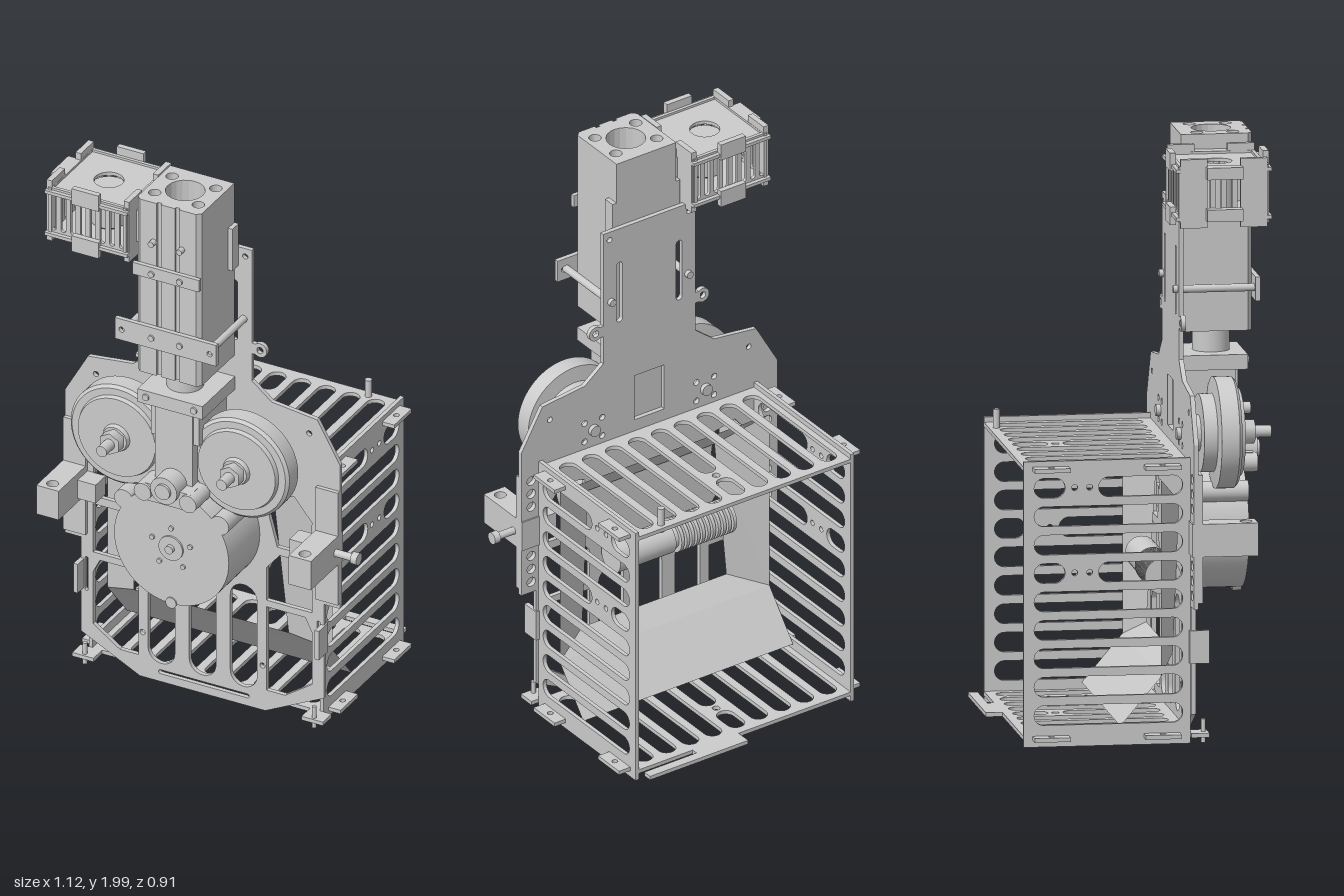
import * as THREE from 'three';
import { toCreasedNormals } from 'three/addons/utils/BufferGeometryUtils.js';

const C = -0.045; // symmetry line of the machine
const mat = new THREE.MeshStandardMaterial({ color: 0xcccccc });
const thin = new THREE.MeshStandardMaterial({ color: 0xcccccc, side: THREE.DoubleSide });

function mesh(parent, name, geo, x = 0, y = 0, z = 0, m = mat) {
  const o = new THREE.Mesh(geo, m);
  o.name = name;
  o.position.set(x, y, z);
  parent.add(o);
  return o;
}
// box given by its limits
const box = (p, name, x0, x1, y0, y1, z0, z1) => mesh(p, name,
  new THREE.BoxGeometry(x1 - x0, y1 - y0, z1 - z0), (x0 + x1) / 2, (y0 + y1) / 2, (z0 + z1) / 2);
// cylinder along an axis, from a to b
function rod(p, name, axis, r, a, b, u, v, sides = 24) {
  const g = new THREE.CylinderGeometry(r, r, b - a, sides), m = (a + b) / 2;
  if (axis === 'z') return mesh(p, name, g.rotateX(Math.PI / 2), u, v, m);
  if (axis === 'x') return mesh(p, name, g.rotateZ(Math.PI / 2), m, u, v);
  return mesh(p, name, g, u, m, v);
}
const poly = pts => new THREE.Path(pts.map(p => new THREE.Vector2(...p)));
const rect = (x0, x1, y0, y1) => poly([[x0, y0], [x1, y0], [x1, y1], [x0, y1]]);
const hole = (x, y, r) => new THREE.Path().absarc(x, y, r, 0, Math.PI * 2, true);
// round-ended slot
function slot(x0, x1, y0, y1) {
  const p = new THREE.Path(), w = x1 - x0, h = y1 - y0, r = Math.min(w, h) / 2;
  if (h > w) {
    p.absarc(x0 + r, y1 - r, r, 0, Math.PI, false);
    p.absarc(x0 + r, y0 + r, r, Math.PI, Math.PI * 2, false);
  } else {
    p.absarc(x0 + r, y0 + r, r, Math.PI / 2, Math.PI * 1.5, false);
    p.absarc(x1 - r, y0 + r, r, -Math.PI / 2, Math.PI / 2, false);
  }
  p.closePath();
  return p;
}
// flat cut sheet; plane 'xy' grows to +z, 'xz' to -y, 'zy' to -x
function sheet(p, name, outline, holes, t, plane = 'xy', at = 0) {
  const s = new THREE.Shape(outline.getPoints(12));
  s.holes = holes;
  const g = new THREE.ExtrudeGeometry(s, { depth: t, bevelEnabled: false, curveSegments: 10 });
  if (plane === 'xz') return mesh(p, name, g.rotateX(Math.PI / 2), 0, at, 0);
  if (plane === 'zy') return mesh(p, name, g.rotateY(-Math.PI / 2), at, 0, 0);
  return mesh(p, name, g, 0, 0, at);
}
const group = (p, name) => { const g = new THREE.Group(); g.name = name; p.add(g); return g; };
const quad = (a, b, c, d) => {
  const g = new THREE.BufferGeometry();
  g.setAttribute('position', new THREE.Float32BufferAttribute([a, b, c, a, c, d].flat(), 3));
  g.computeVertexNormals();
  return g;
};

function mainPlate(root) {
  const half = [[0.235, 0.01], [0.455, 0.12], [0.455, 0.48], [0.515, 0.48], [0.515, 1.03], [0.43, 1.18],
    [0.26, 1.2], [0.185, 1.26], [0.185, 1.76]];
  const both = pts => [...pts.map(([x, y]) => [C + x, y]), ...pts.slice().reverse().map(([x, y]) => [C - x, y])];
  const holes = [rect(C - 0.06, C + 0.06, 1.0, 1.17), slot(-0.21, 0.13, 0.04, 0.055)];
  for (const i of [-1, 0, 1]) holes.push(slot(C + i * 0.154 - 0.05, C + i * 0.154 + 0.05, 0.08, 0.47));
  for (const s of [-1, 1]) {
    const win = pts => holes.push(poly(pts.map(([x, y]) => [C + s * x, y])));
    win([[0.24, 0.09], [0.31, 0.09], [0.41, 0.16], [0.41, 0.36], [0.385, 0.41], [0.24, 0.41]]);
    win([[0.24, 0.435], [0.41, 0.435], [0.41, 0.62], [0.29, 0.62], [0.24, 0.56]]);
    win([[0.25, 0.76], [0.28, 0.65], [0.405, 0.65], [0.41, 0.78], [0.345, 0.86], [0.26, 0.84]]);
    for (const y of [0.52, 0.57, 0.62, 0.81, 0.86, 0.91]) holes.push(hole(C + s * 0.475, y, 0.017));
    const wx = C + s * 0.225;
    for (let i = 0; i < 4; i++) {
      const a = Math.PI * (i / 2 + 0.25);
      holes.push(hole(wx + 0.05 * Math.cos(a), 1.02 + 0.05 * Math.sin(a), 0.011));
    }
    holes.push(hole(C + s * 0.4, 1.12, 0.01), hole(C + s * 0.16, 1.73, 0.01), hole(C + s * 0.225, 0.18, 0.01));
    holes.push(slot(C + s * 0.435 - 0.006, C + s * 0.435 + 0.006, 0.28, 0.41));
    holes.push(slot(C + s * 0.12 - 0.012, C + s * 0.12 + 0.012, 1.4, 1.63));
  }
  sheet(root, 'mainPlate', poly(both(half)), holes, 0.016, 'xy', 0.155);
  for (const s of [-1, 1]) {
    const ear = new THREE.Path().absarc(C + s * 0.215, 1.385, 0.026, 0, Math.PI * 2, false);
    sheet(root, 'mastEar', ear, [hole(C + s * 0.215, 1.385, 0.012)], 0.016, 'xy', 0.155);
    box(root, 'mastEarNeck', C + s * 0.19 - 0.015, C + s * 0.19 + 0.015, 1.365, 1.405, 0.155, 0.171);
    box(root, 'plateTab', C + s * 0.452 - 0.008, C + s * 0.452 + 0.008, 0.29, 0.4, 0.15, 0.215);
  }
}

function basket(root) {
  const b = group(root, 'basket');
  const n = [...Array(9).keys()];
  // slatted floor and roof
  for (const [name, y] of [['roof', 0.957], ['floor', 0.057]]) {
    const holes = n.filter(i => i !== 4).map(i => slot(-0.445 + i * 0.0923, -0.382 + i * 0.0923, -0.37, 0.12));
    holes.push(slot(-0.076, -0.013, -0.37, -0.253), slot(-0.076, -0.013, -0.203, 0.12), hole(C, -0.228, 0.013));
    sheet(b, name, rect(-0.48, 0.4, -0.4, 0.155), holes, 0.014, 'xz', y);
    for (const z of [-0.31, 0.06]) for (const s of [-1, 1])
      sheet(b, name + 'Tab', rect(-0.04 + s * 0.46 - 0.025, -0.04 + s * 0.46 + 0.025, z - 0.06, z + 0.06).clone(),
        [hole(-0.04 + s * 0.46, z, 0.01)], 0.014, 'xz', y);
  }
  // slatted sides with cross pieces
  for (const x of [-0.466, 0.4]) {
    const holes = [];
    for (const i of n) {
      const y = 0.125 + i * 0.095;
      if (i === 5 || i === 8) holes.push(slot(-0.365, -0.262, y - 0.033, y + 0.033), slot(-0.15, 0.13, y - 0.033, y + 0.033),
        hole(-0.18, y, 0.01), hole(-0.23, y, 0.01));
      else holes.push(slot(-0.365, 0.13, y - 0.033, y + 0.033));
    }
    sheet(b, 'basketSide', rect(-0.4, 0.155, 0.02, 0.975), holes, 0.014, 'zy', x);
  }
  // latch tongue behind the floor
  sheet(b, 'latchTongue', poly([[-0.015, -0.455], [0.38, -0.455], [0.38, -0.422], [0.17, -0.422], [0.17, -0.4], [-0.015, -0.4]]),
    [], 0.014, 'xz', 0.057);
  rod(b, 'roofScrew', 'y', 0.012, 0.93, 1.02, 0.28, -0.375);
  for (const s of [-1, 1]) rod(b, 'floorScrew', 'y', 0.008, 0.02, 0.1, -0.04 + s * 0.43, 0.2);
  for (const s of [-1, 1]) box(b, 'frontTab', -0.04 + s * 0.43 - 0.04, -0.04 + s * 0.43 + 0.04, 0.043, 0.057, 0.155, 0.215);
  // funnel panels
  const [l, r, li, ri] = [-0.462, 0.382, -0.3, 0.21];
  const f = (name, ...p) => mesh(b, name, quad(...p), 0, 0, 0, thin);
  f('ramp', [l, 0.08, -0.075], [r, 0.08, -0.075], [r, 0.24, 0.06], [l, 0.24, 0.06]);
  f('rampTop', [l, 0.24, 0.06], [r, 0.24, 0.06], [0.25, 0.3, 0.12], [-0.33, 0.3, 0.12]);
  f('funnelLeft', [r, 0.24, 0.06], [r, 0.9, 0.06], [ri, 0.8, 0.145], [0.25, 0.3, 0.12]);
  f('funnelRight', [l, 0.24, 0.06], [l, 0.9, 0.06], [li, 0.8, 0.145], [-0.33, 0.3, 0.12]);
  f('funnelTop', [l, 0.9, 0.06], [r, 0.9, 0.06], [ri, 0.8, 0.145], [li, 0.8, 0.145]);
  // feed roller, ribbed on one half
  rod(b, 'roller', 'x', 0.055, -0.07, 0.155, 0.55, 0.09, 32);
  rod(b, 'rollerCore', 'x', 0.045, -0.31, -0.07, 0.55, 0.09, 32);
  for (let i = 0; i < 11; i++) rod(b, 'rollerRib', 'x', 0.06, -0.31 + i * 0.021, -0.298 + i * 0.021, 0.55, 0.09, 32);
}

function drive(root) {
  // motor housing
  const d = group(root, 'motorHousing');
  rod(d, 'housing', 'z', 0.215, 0.17, 0.385, C, 0.68, 64);
  rod(d, 'housingHub', 'z', 0.045, 0.38, 0.392, C, 0.68, 32);
  rod(d, 'hubPin', 'z', 0.015, 0.39, 0.405, C, 0.68);
  for (const s of [-1, 1]) rod(d, 'housingLug', 'z', 0.035, 0.17, 0.385, C + s * 0.18, 0.815);
  for (let i = 0; i < 5; i++) {
    const a = Math.PI * (0.5 + i * 0.4);
    rod(d, 'housingBolt', 'z', 0.009, 0.38, 0.392, C + 0.075 * Math.cos(a), 0.68 + 0.075 * Math.sin(a), 12);
  }
  rod(d, 'lowerBolt', 'z', 0.02, 0.36, 0.39, C, 0.47);
  // clamp over the housing
  box(d, 'clampBar', C - 0.09, C + 0.09, 0.86, 0.925, 0.2, 0.42);
  rod(d, 'clampBoss', 'z', 0.05, 0.2, 0.44, C, 0.925);
  rod(d, 'clampPin', 'z', 0.028, 0.43, 0.45, C, 0.925);
  for (const s of [-1, 1]) rod(d, 'clampEnd', 'z', 0.032, 0.2, 0.43, C + s * 0.085, 0.893);
  // wheels on both sides
  const profile = [[0, 0.195], [0.06, 0.195], [0.06, 0.215], [0.13, 0.215], [0.13, 0.26], [0.185, 0.265], [0.185, 0.325],
    [0.175, 0.335], [0.15, 0.335], [0.145, 0.35], [0.05, 0.35], [0.045, 0.365], [0, 0.365]];
  for (const s of [-1, 1]) {
    const w = group(root, 'wheel'), x = C + s * 0.225;
    const g = new THREE.LatheGeometry(profile.map(p => new THREE.Vector2(...p)), 64).rotateX(Math.PI / 2);
    mesh(w, 'wheelDisc', toCreasedNormals(g, 0.5), x, 1.02, 0);
    rod(w, 'wheelNut', 'z', 0.04, 0.36, 0.4, x, 1.02, 6);
    rod(w, 'wheelShaft', 'z', 0.02, 0.14, 0.455, x, 1.02);
  }
  // side brackets
  for (const s of [-1, 1]) {
    const x = C + s * 0.473, g = group(root, 'sideBracket');
    sheet(g, 'bracketBlock', rect(x - 0.042, x + 0.042, 0.15, 0.37), [hole(x, 0.335, 0.02)], 0.11, 'xz', 0.765);
    box(g, 'bracketFoot', x - 0.042, x + 0.042, 0.5, 0.93, 0.171, 0.185);
    box(g, 'bracketLink', x - s * 0.07 - 0.04, x - s * 0.07 + 0.04, 0.67, 0.74, 0.171, 0.24);
  }
  rod(root, 'adjustScrew', 'x', 0.013, 0.46, 0.54, 0.71, 0.2);
  rod(root, 'adjustScrewHead', 'x', 0.021, 0.535, 0.558, 0.71, 0.2);
}

function column(root) {
  const c = group(root, 'column');
  // slide between the wheels
  box(c, 'slide', C - 0.07, C + 0.07, 0.88, 1.22, 0.172, 0.37);
  box(c, 'slideCap', C - 0.122, C + 0.122, 1.21, 1.26, 0.172, 0.395);
  for (const s of [-1, 1]) {
    box(c, 'slideRail', C + s * 0.075 - 0.015, C + s * 0.075 + 0.015, 1.08, 1.22, 0.172, 0.36);
    rod(c, 'capBolt', 'z', 0.012, 0.39, 0.402, C + s * 0.09, 1.237);
  }
  rod(c, 'pistonRod', 'y', 0.062, 1.25, 1.36, C, 0.29, 32);
  rod(c, 'piston', 'y', 0.045, 1.36, 1.9, C, 0.29, 32);
  // profiled body with grooves in its front face
  const o = [[-0.12, 0.172], [0.12, 0.172], [0.12, 0.395], [0.105, 0.41], [0.042, 0.41], [0.042, 0.4], [0.026, 0.4], [0.026, 0.41],
    [-0.026, 0.41], [-0.026, 0.4], [-0.042, 0.4], [-0.042, 0.41], [-0.105, 0.41], [-0.12, 0.395]].map(([x, z]) => [C + x, z]);
  const holes = [hole(C, 0.29, 0.066)];
  for (const a of [-1, 1]) for (const b of [-1, 1]) holes.push(hole(C + a * 0.082, 0.29 + b * 0.06, 0.021));
  sheet(c, 'cylinderBody', poly(o), holes, 0.66, 'xz', 2.0);
  // clamp plates and their tie rods
  sheet(c, 'lowerClamp', rect(C - 0.19, C + 0.19, 1.45, 1.53),
    [-0.165, 0.165].map(x => hole(C + x, 1.49, 0.01)), 0.016, 'xy', 0.41);
  box(c, 'upperClamp', C - 0.125, C + 0.125, 1.715, 1.76, 0.41, 0.425);
  for (const s of [-1, 1]) {
    rod(c, 'tieRod', 'z', 0.013, 0.14, 0.415, C + s * 0.155, 1.49);
    for (const y of [1.49, 1.735, 1.85]) rod(c, 'bodyScrew', 'z', 0.011, 0.4, 0.432, C + s * 0.053, y, 12);
    box(c, 'bodySideStrip', C + s * 0.128 - 0.008, C + s * 0.128 + 0.008, 1.69, 1.85, 0.172, 0.215);
  }
}

function sensorBox(root) {
  const g = group(root, 'slattedBox'), cx = -0.345, cz = 0.265, h = 0.15;
  const slots = m => [...Array(8).keys()].map(i => slot(m - 0.137 + i * 0.0365, m - 0.118 + i * 0.0365, 1.79, 1.925));
  for (const s of [-1, 1]) {
    sheet(g, 'boxFace', rect(cx - h, cx + h, 1.765, 1.95), slots(cx), 0.012, 'xy', cz + s * 0.14 - 0.006);
    sheet(g, 'boxSide', rect(cz - h, cz + h, 1.765, 1.95), slots(cz), 0.012, 'zy', cx + s * 0.14 + 0.006);
    sheet(g, 'boxLid', rect(cx - 0.155, cx + 0.155, cz - 0.16, cz + 0.16), [hole(cx, cz, 0.05)], 0.012, 'xz', 1.862 + s * 0.08);
    // corner pins and edge tabs
    for (const t of [-1, 1]) {
      box(g, 'cornerTab', cx + s * 0.145 - 0.01, cx + s * 0.145 + 0.01, 1.745, 1.975, cz + t * 0.1 - 0.045, cz + t * 0.1 + 0.045);
      box(g, 'sideTab', cx + s * 0.165 - 0.02, cx + s * 0.165 + 0.02, 1.86 + t * 0.07 - 0.02, 1.86 + t * 0.07 + 0.02, cz - 0.06, cz + 0.06);
    }
    box(g, 'faceTab', cx - 0.05, cx + 0.05, 1.86 + s * 0.09 - 0.03, 1.86 + s * 0.09 + 0.03, cz + 0.145, cz + 0.165);
    box(g, 'rearTab', cx - 0.05, cx + 0.05, 1.86 + s * 0.09 - 0.03, 1.86 + s * 0.09 + 0.03, cz - 0.165, cz - 0.145);
  }
  rod(g, 'boxCore', 'y', 0.06, 1.79, 1.92, cx, cz, 24);
  box(g, 'boxArm', -0.2, C - 0.11, 1.8, 1.92, 0.2, 0.36);
}

export function createModel() {
  const root = new THREE.Group();
  root.name = 'machine';
  mainPlate(root);
  basket(root);
  drive(root);
  column(root);
  sensorBox(root);
  return root;
}
